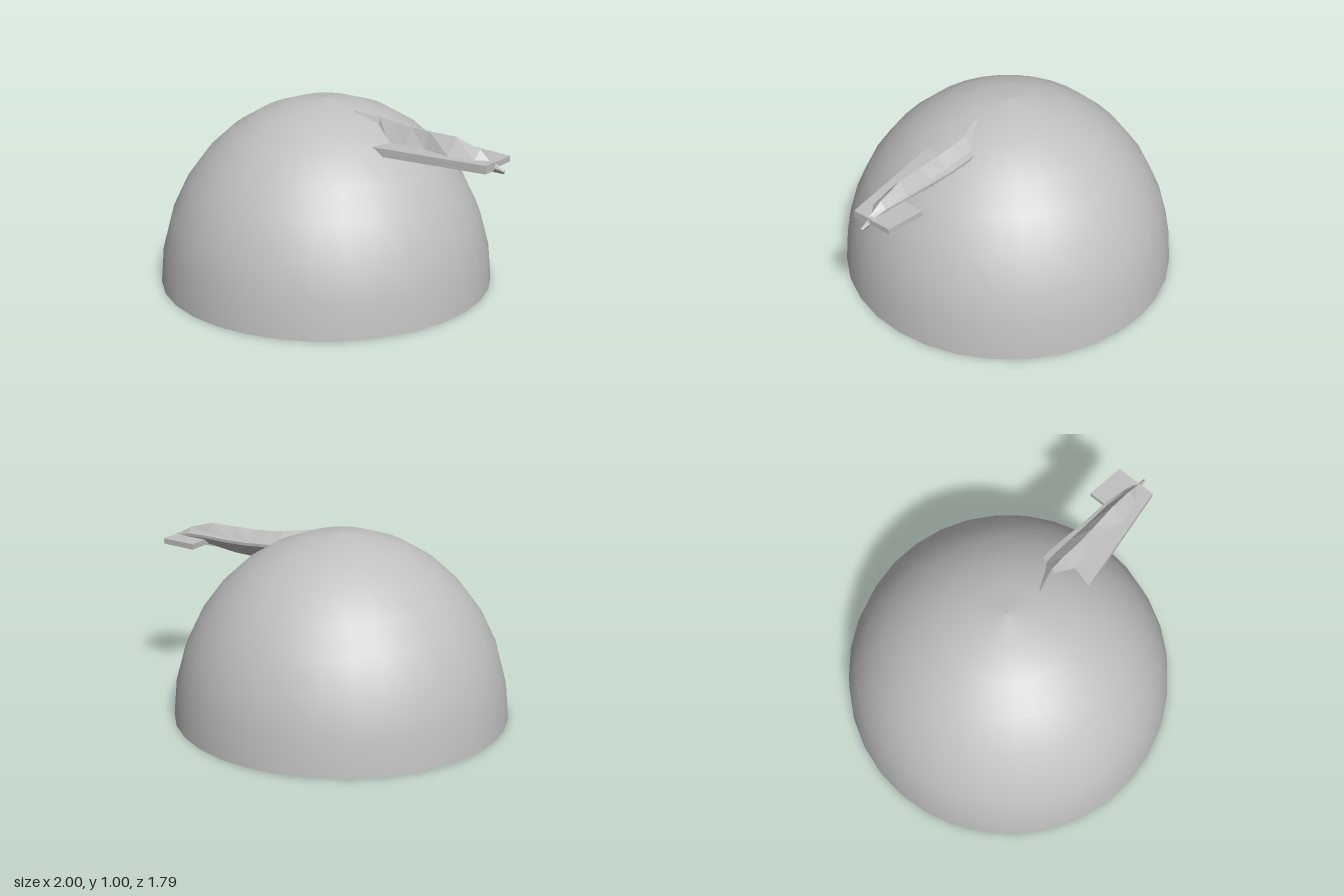
import * as THREE from 'three';

const grey = new THREE.MeshStandardMaterial({ color: 0xc0c0c0 });
grey.name = 'plain grey';
const facetedGrey = (geometry) => {
  const flat = geometry.index ? geometry.toNonIndexed() : geometry;
  flat.computeVertexNormals();
  return flat;
};

// Joins equal closed cross-sections (listed along +x) into a capped faceted solid.
function loft(sections) {
  const positions = [];
  const tri = (...points) => points.forEach((p) => positions.push(...p));
  const n = sections[0].length;
  for (let i = 0; i < sections.length - 1; i++) {
    for (let j = 0; j < n; j++) {
      const k = (j + 1) % n;
      const [a, b] = [sections[i][j], sections[i][k]];
      const [c, d] = [sections[i + 1][k], sections[i + 1][j]];
      tri(a, b, c);
      tri(a, c, d);
    }
  }
  const first = sections[0], last = sections[sections.length - 1];
  for (let j = 1; j < n - 1; j++) {
    tri(first[0], first[j + 1], first[j]);
    tri(last[0], last[j], last[j + 1]);
  }
  const geometry = new THREE.BufferGeometry();
  geometry.setAttribute('position', new THREE.Float32BufferAttribute(positions, 3));
  return facetedGrey(geometry);
}

// Flat wing from an (x, z) outline, between two heights.
function wing(outline, bottom, top) {
  const shape = new THREE.Shape(outline.map(([x, z]) => new THREE.Vector2(x, -z)));
  const geometry = new THREE.ExtrudeGeometry(shape, { depth: top - bottom, bevelEnabled: false });
  geometry.rotateX(-Math.PI / 2).translate(0, bottom, 0);
  return facetedGrey(geometry);
}

export function createModel() {
  const model = new THREE.Group();
  model.name = 'domeWithCraft';
  const add = (name, geometry, parent = model) => {
    const mesh = new THREE.Mesh(geometry, grey);
    mesh.name = name;
    parent.add(mesh);
    return mesh;
  };

  // Smooth half-ellipsoid dome with a flat base
  const radius = 0.895, height = 0.995, centreX = -0.105;
  const profile = [];
  for (let i = 0; i <= 8; i++) {
    const a = (i / 8) * Math.PI / 2;
    profile.push(new THREE.Vector2(i === 8 ? 0 : radius * Math.cos(a), height * Math.sin(a)));
  }
  add('dome', new THREE.LatheGeometry(profile, 32)).position.x = centreX;
  add('domeBase', new THREE.CircleGeometry(radius, 32).rotateX(Math.PI / 2)).position.x = centreX;

  const craft = new THREE.Group();
  craft.name = 'craft';
  model.add(craft);

  // Hull stations: x, ridge y, ridge z, front edge z, belly y, shoulder z, shoulder y
  const stations = [
    [0.11, 0.967, 0.038, 0.04, 0.90, 0.03, 0.95],
    [0.25, 0.948, 0.00, 0.04, 0.80, -0.09, 0.89],
    [0.34, 0.938, 0.00, 0.06, 0.775, -0.09, 0.885],
    [0.45, 0.93, 0.008, 0.06, 0.78, -0.08, 0.875],
    [0.56, 0.93, 0.01, 0.05, 0.785, -0.065, 0.87],
    [0.72, 0.93, 0.01, 0.085, 0.805, -0.05, 0.87],
    [0.86, 0.89, 0.01, 0.06, 0.80, -0.025, 0.86],
    [0.95, 0.84, 0.01, 0.02, 0.795, -0.005, 0.83],
  ];
  add('hull', loft(stations.map(([x, ridgeY, ridgeZ, edgeZ, bellyY, sideZ, sideY]) => [
    [x, ridgeY, ridgeZ],
    [x, Math.min(0.845, sideY - 0.01), edgeZ],
    [x, bellyY, 0.005],
    [x, (bellyY + sideY) / 2, sideZ * 0.6],
    [x, sideY - 0.015, sideZ],
    [x, sideY, sideZ],
    [x, sideY + 0.005, sideZ * 0.65],
  ])), craft);

  // Long front wing, short back wing
  add('frontWing', wing([[0.2, 0.0], [0.2, 0.195], [0.95, 0.1], [0.95, 0.0]], 0.802, 0.845), craft);
  add('backWing', wing([[0.74, 0.0], [0.95, 0.0], [0.95, -0.125], [0.74, -0.15]], 0.812, 0.842), craft);

  // Tail tip
  add('tailTip', loft([
    [[0.92, 0.85, 0.01], [0.92, 0.82, 0.025], [0.92, 0.79, 0.01], [0.92, 0.82, -0.005]],
    [[1.0, 0.812, 0.01], [1.0, 0.803, 0.018], [1.0, 0.79, 0.01], [1.0, 0.803, 0.002]],
  ]), craft);

  return model;
}
